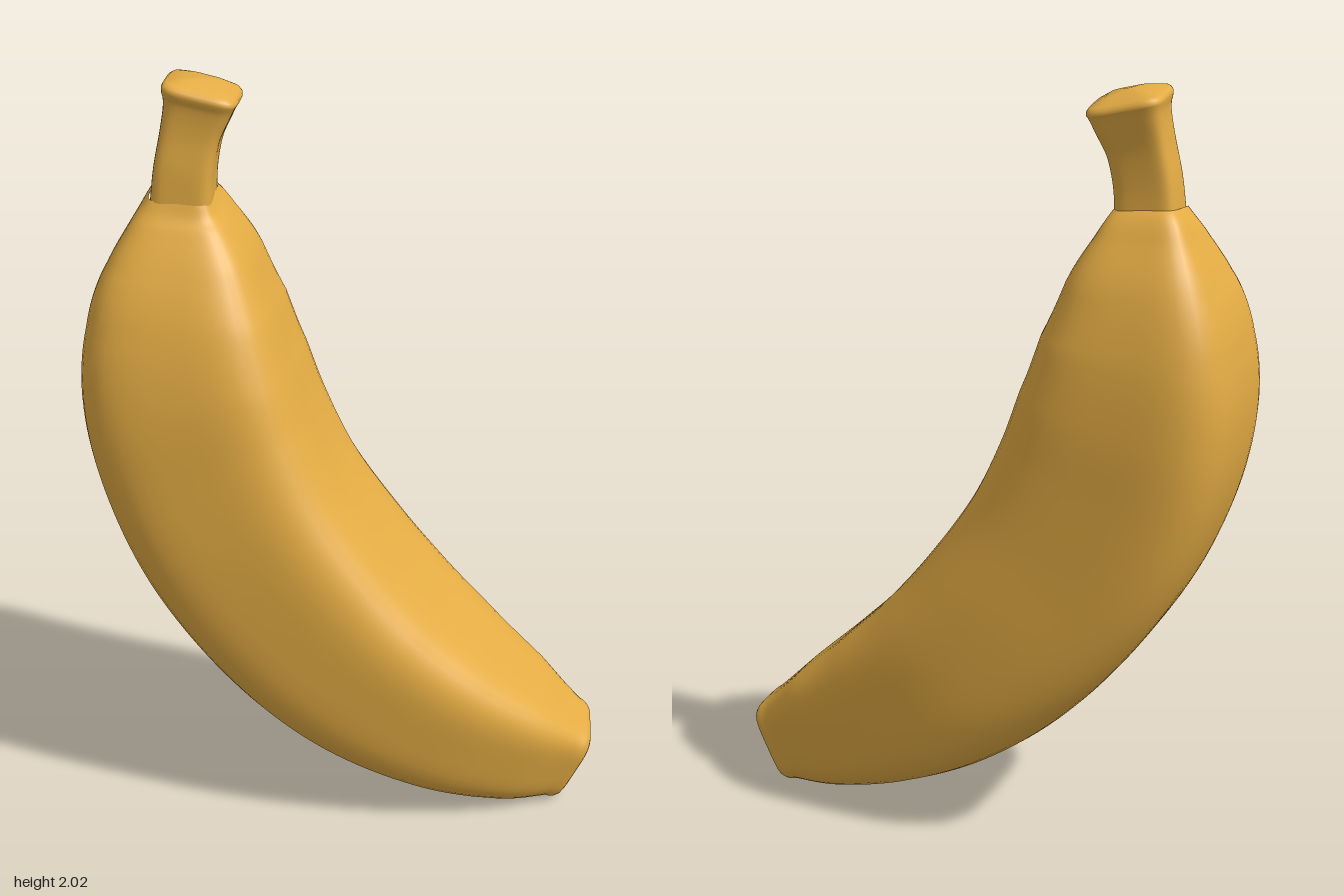
import * as THREE from 'three';

const SIDES = 64;

// Sweeps a rounded-square section along stations [x, y, z, halfDepth, halfWidth, squareness].
// capStart / capEnd list [scale, outward offset] rings that close an end.
function sweep(stations, rings, turn, capStart, capEnd) {
  const spline = (pts) => new THREE.CatmullRomCurve3(pts, false, 'catmullrom', 0.5);
  const path = spline(stations.map((s) => new THREE.Vector3(s[0], s[1], s[2])));
  const size = spline(stations.map((s) => new THREE.Vector3(s[3], s[4], s[5])));
  const positions = [];
  let rows = 0;

  const addRing = (t, scale = 1, offset = 0) => {
    const tangent = path.getTangent(t);
    const across = new THREE.Vector3(Math.sin(turn), 0, Math.cos(turn));
    const depth = across.clone().cross(tangent).normalize();
    across.crossVectors(tangent, depth);
    const centre = path.getPoint(t).addScaledVector(tangent, offset);
    const { x: a, y: b, z: p } = size.getPoint(t);
    for (let j = 0; j < SIDES; j++) {
      const angle = (j / SIDES) * Math.PI * 2;
      const c = Math.cos(angle), s = Math.sin(angle);
      const r = scale / Math.pow(Math.abs(c) ** p + Math.abs(s) ** p, 1 / p);
      const v = centre.clone().addScaledVector(depth, a * r * c).addScaledVector(across, b * r * s);
      positions.push(v.x, v.y, v.z);
    }
    rows++;
  };

  [...capStart].reverse().forEach(([scale, out]) => addRing(0, scale, -out));
  for (let i = 0; i <= rings; i++) addRing(i / rings);
  capEnd.forEach(([scale, out]) => addRing(1, scale, out));

  const index = [];
  for (let i = 0; i < rows - 1; i++) {
    for (let j = 0; j < SIDES; j++) {
      const k = (j + 1) % SIDES;
      const a = i * SIDES + j, b = i * SIDES + k;
      index.push(a, b, a + SIDES, b, b + SIDES, a + SIDES);
    }
  }
  const geometry = new THREE.BufferGeometry();
  geometry.setAttribute('position', new THREE.Float32BufferAttribute(positions, 3));
  geometry.setIndex(index);
  geometry.computeVertexNormals();
  return geometry;
}

export function createModel() {
  const group = new THREE.Group();
  group.name = 'banana';
  const skin = new THREE.MeshStandardMaterial({ color: 0xe4ac44 });

  const add = (name, geometry) => {
    const mesh = new THREE.Mesh(geometry, skin);
    mesh.name = name;
    group.add(mesh);
  };

  // Curved fruit, from the blunt lower tip up to the neck
  add('body', sweep([
    [0.575, 0.105, -0.305, 0.122, 0.122, 4.5],
    [0.455, 0.168, -0.238, 0.172, 0.195, 4.2],
    [0.285, 0.27, -0.15, 0.222, 0.258, 4],
    [0.105, 0.405, -0.068, 0.26, 0.295, 4],
    [-0.055, 0.57, 0.0, 0.283, 0.303, 4],
    [-0.205, 0.785, 0.062, 0.292, 0.298, 4],
    [-0.305, 1.0, 0.093, 0.292, 0.287, 4],
    [-0.362, 1.2, 0.105, 0.28, 0.275, 4],
    [-0.388, 1.38, 0.1, 0.245, 0.243, 4],
    [-0.397, 1.53, 0.09, 0.188, 0.188, 4.2],
    [-0.4, 1.64, 0.088, 0.124, 0.124, 4.8],
    [-0.395, 1.705, 0.092, 0.08, 0.08, 6],
  ], 88, 0.4, [[0.985, 0.012], [0.95, 0.024], [0.89, 0.034], [0.8, 0.04], [0.5, 0.045], [0, 0.046]], []));

  // Square stem with a flared, slightly domed cut end
  add('stem', sweep([
    [-0.395, 1.68, 0.092, 0.08, 0.08, 6],
    [-0.389, 1.77, 0.086, 0.077, 0.077, 6],
    [-0.378, 1.86, 0.07, 0.077, 0.077, 6],
    [-0.365, 1.93, 0.053, 0.088, 0.088, 5.5],
    [-0.359, 1.965, 0.047, 0.099, 0.099, 5],
  ], 28, 0.46, [], [[0.98, 0.008], [0.9, 0.016], [0.5, 0.03], [0, 0.035]]));

  return group;
}
